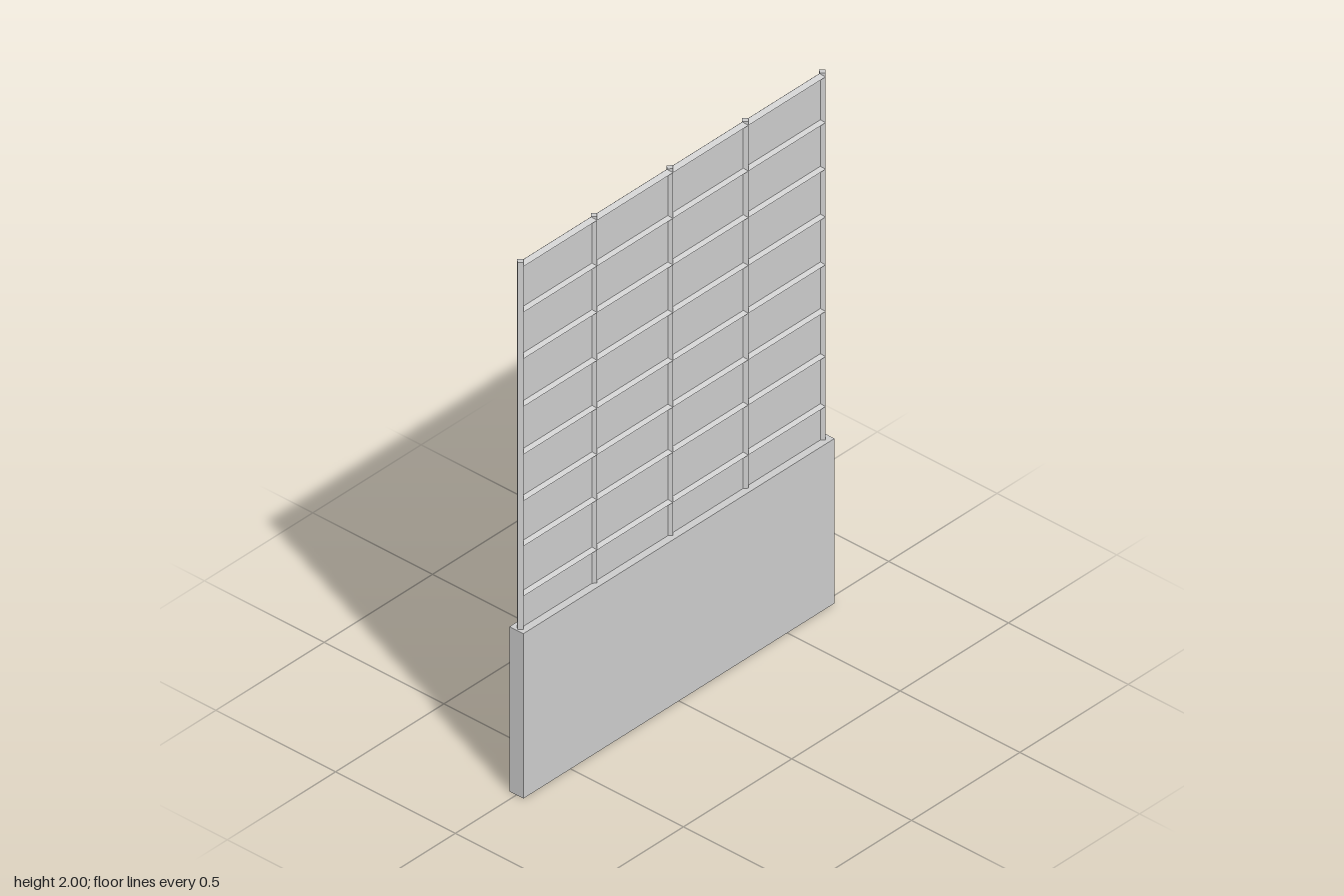
import * as THREE from 'three';

export function createModel() {
  const group = new THREE.Group();
  const material = new THREE.MeshStandardMaterial({ color: 0xcccccc, flatShading: true });

  const add = (name, geometry, x, y, z = 0) => {
    const mesh = new THREE.Mesh(geometry, material);
    mesh.name = name;
    mesh.position.set(x, y, z);
    group.add(mesh);
    return mesh;
  };

  const baseHeight = 0.62;
  const top = 2;
  const radius = 0.0135;
  const postX = [-0.7, -0.36, -0.01, 0.338, 0.694];
  const railY = [0.745, 0.933, 1.103, 1.278, 1.458, 1.638, 1.813, 1.985];
  const left = postX[0];
  const right = postX[postX.length - 1];
  const width = right - left;
  const midX = (left + right) / 2;

  // Solid lower wall
  add('baseWall', new THREE.BoxGeometry(1.436, baseHeight, 0.058), 0, baseHeight / 2);

  // Thin sheet filling the grid
  const sheetTop = railY[railY.length - 1];
  add('panel', new THREE.BoxGeometry(width, sheetTop - baseHeight, 0.004), midX, (sheetTop + baseHeight) / 2);

  // Upright bars with a diamond section
  const postGeometry = new THREE.CylinderGeometry(radius, radius, top - baseHeight, 4);
  for (const x of postX) add('post', postGeometry, x, (top + baseHeight) / 2);

  // Cross bars with the same section
  const railGeometry = new THREE.CylinderGeometry(radius, radius, width, 4).rotateZ(Math.PI / 2);
  for (const y of railY) add('rail', railGeometry, midX, y);

  return group;
}
